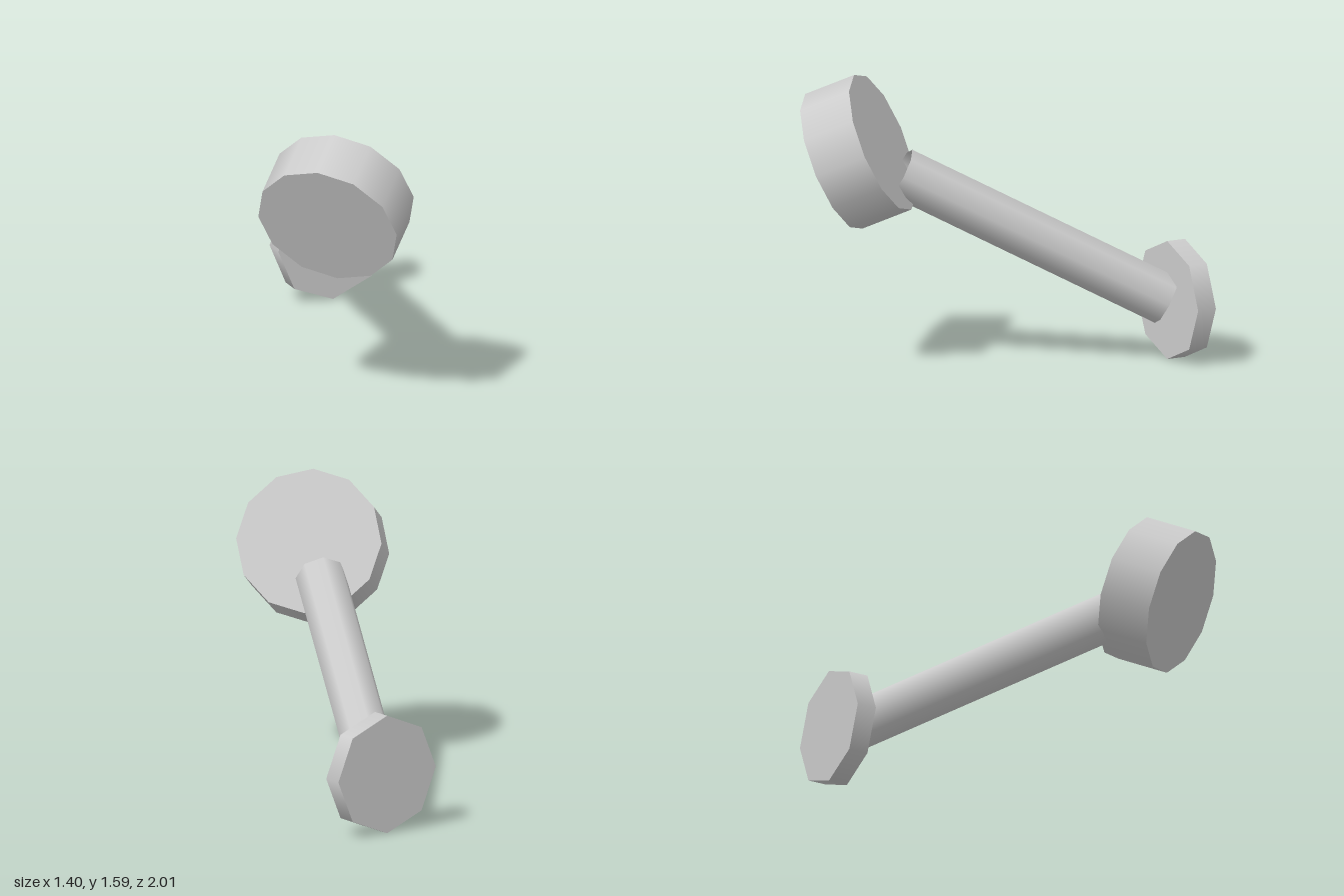
import * as THREE from 'three';

// Cylinder between two points, with one rim vertex pointing as far up as it can
function rod(name, from, to, radius, sides, material, open = false) {
  const a = new THREE.Vector3(...from);
  const b = new THREE.Vector3(...to);
  const axis = b.clone().sub(a);
  const length = axis.length();
  axis.normalize();
  const up = new THREE.Vector3(0, 1, 0).addScaledVector(axis, -axis.y).normalize();
  const side = axis.clone().cross(up);

  const geometry = new THREE.CylinderGeometry(radius, radius, length, sides, 1, open);
  geometry.applyMatrix4(new THREE.Matrix4().makeBasis(side, axis, up));
  const mesh = new THREE.Mesh(geometry, material);
  mesh.position.copy(a).add(b).multiplyScalar(0.5);
  mesh.name = name;
  return mesh;
}

export function createModel() {
  const metal = new THREE.MeshStandardMaterial({ color: 0xcccccc, side: THREE.DoubleSide });
  metal.name = 'light grey metal';

  const group = new THREE.Group();
  group.name = 'wallLamp';
  group.add(
    // Octagonal plate at the back
    rod('wallPlate', [0.38, 0.322, -1], [0.38, 0.322, -0.89], 0.322, 8, metal),
    // Open tube rising to the front
    rod('arm', [0.38, 0.322, -0.885], [-0.215, 1.053, 0.41], 0.137, 8, metal, true),
    // Twelve-sided drum, tilted down and to its right
    rod('lampHead', [-0.217, 1.229, 0.52], [-0.407, 1.111, 0.71], 0.392, 12, metal)
  );
  return group;
}
